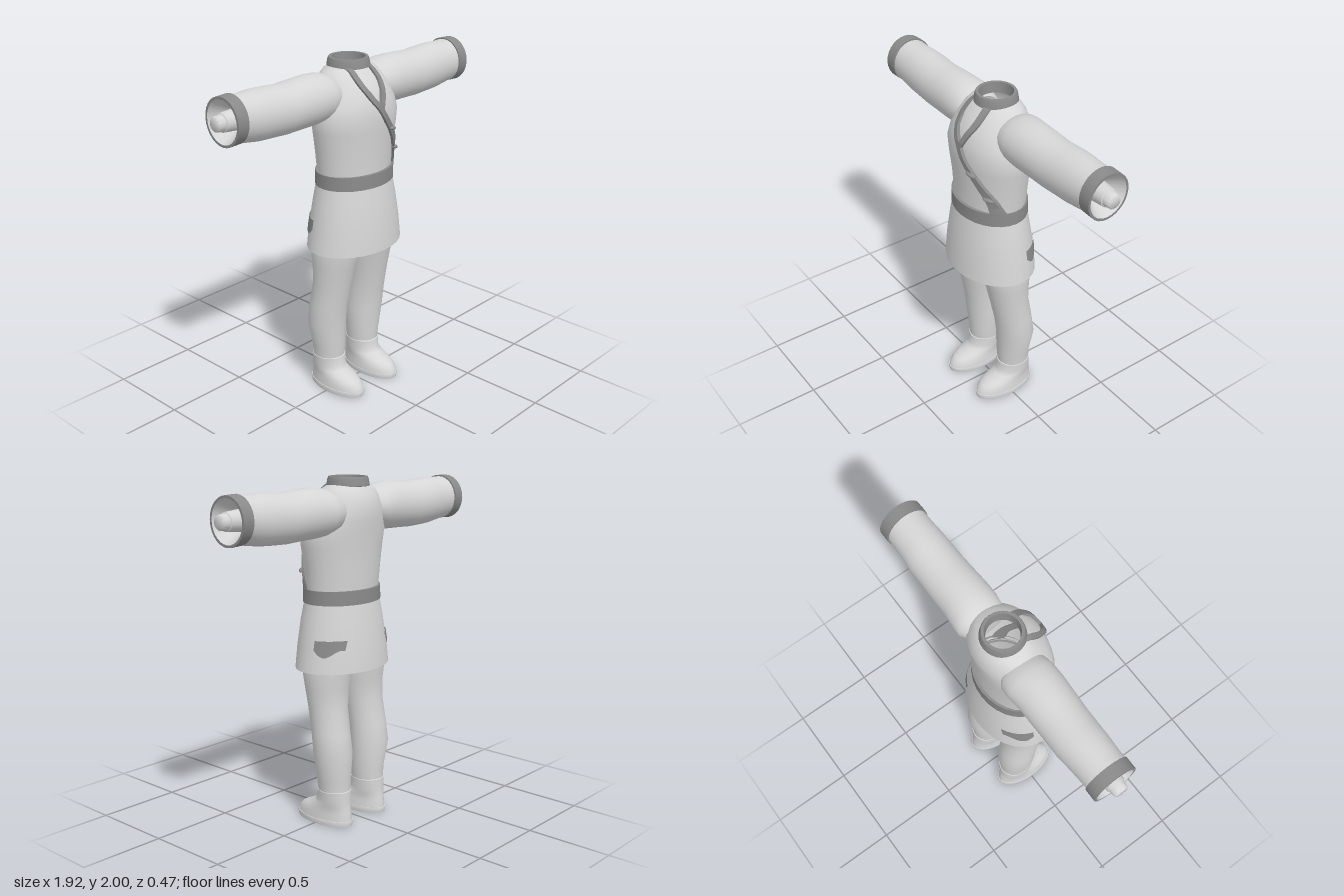
import * as THREE from 'three';
import { toCreasedNormals } from 'three/addons/utils/BufferGeometryUtils.js';

const SEG = 28;

// Skin a list of closed rings; the ends are optionally capped.
function loft(rings, capStart = false, capEnd = false) {
  const n = rings[0].length;
  const pos = rings.flat(2);
  const idx = [];
  for (let r = 0; r < rings.length - 1; r++) {
    for (let i = 0; i < n; i++) {
      const j = (i + 1) % n, a = r * n + i, b = r * n + j, c = a + n, d = b + n;
      idx.push(a, c, b, b, c, d);
    }
  }
  const cap = (ring, base, flip) => {
    const centre = pos.length / 3;
    for (let k = 0; k < 3; k++) pos.push(ring.reduce((s, p) => s + p[k], 0) / n);
    for (let i = 0; i < n; i++) {
      const a = base + i, b = base + (i + 1) % n;
      idx.push(centre, flip ? a : b, flip ? b : a);
    }
  };
  if (capStart) cap(rings[0], 0, true);
  if (capEnd) cap(rings[rings.length - 1], (rings.length - 1) * n, false);
  const g = new THREE.BufferGeometry();
  g.setAttribute('position', new THREE.Float32BufferAttribute(pos, 3));
  g.setIndex(idx);
  return toCreasedNormals(g, 0.8);
}

const angles = Array.from({ length: SEG }, (_, i) => (i / SEG) * Math.PI * 2);

// Rows are [y, xMin, xMax, zMin, zMax], listed upwards.
const upright = rows => rows.map(([y, x0, x1, z0, z1]) => angles.map(t => [
  (x0 + x1) / 2 + (x1 - x0) / 2 * Math.cos(t), y, (z0 + z1) / 2 + (z1 - z0) / 2 * Math.sin(t)]));

// Rows are [x, yMin, yMax, zMin, zMax], listed outwards along one arm.
const sideways = (rows, s) => rows.map(([x, y0, y1, z0, z1]) => angles.map(t => [
  s * x, (y0 + y1) / 2 + (y1 - y0) / 2 * Math.cos(t), (z0 + z1) / 2 - s * (z1 - z0) / 2 * Math.sin(t)]));

const mirrorX = rows => rows.map(([y, x0, x1, z0, z1]) => [y, -x1, -x0, z0, z1]);

const TORSO = [
  [1.34, -0.24, 0.24, -0.17, 0.18], [1.5, -0.255, 0.255, -0.18, 0.185],
  [1.62, -0.275, 0.275, -0.185, 0.195], [1.7, -0.285, 0.285, -0.195, 0.2],
  [1.77, -0.265, 0.265, -0.2, 0.19], [1.84, -0.23, 0.23, -0.205, 0.165],
  [1.9, -0.2, 0.2, -0.185, 0.12], [1.94, -0.165, 0.165, -0.16, 0.08],
  [1.965, -0.1, 0.1, -0.135, 0.055]];

const SKIRT = [
  [0.92, -0.31, 0.31, -0.23, 0.235], [1.05, -0.293, 0.293, -0.222, 0.228],
  [1.2, -0.268, 0.268, -0.2, 0.21], [1.32, -0.242, 0.242, -0.182, 0.19]];

// Interpolated extents of a body profile at height y.
function rowAt(rows, y) {
  const i = Math.max(1, rows.findIndex((r, k) => k === rows.length - 1 || r[0] >= y));
  const k = THREE.MathUtils.clamp((y - rows[i - 1][0]) / (rows[i][0] - rows[i - 1][0]), 0, 1);
  return rows[i].map((v, j) => THREE.MathUtils.lerp(rows[i - 1][j], v, k));
}

function chestZ(x, y) {
  const [, , x1, z0, z1] = rowAt(TORSO, y);
  return (z0 + z1) / 2 + (z1 - z0) / 2 * Math.sqrt(Math.max(0, 1 - (x / x1) ** 2));
}

// Flat band laid over the chest; points are [x, y, width], listed downwards.
function band(points) {
  const curve = new THREE.CatmullRomCurve3(points.map(p => new THREE.Vector3(...p)));
  const rings = [];
  for (let i = 0; i <= 16; i++) {
    const p = curve.getPoint(i / 16), t = curve.getTangent(i / 16);
    const l = Math.hypot(t.x, t.y), nx = -t.y / l * p.z / 2, ny = t.x / l * p.z / 2;
    const at = (s, lift) => [p.x + s * nx, p.y + s * ny, chestZ(p.x + s * nx, p.y + s * ny) + lift];
    rings.push([at(-1, -0.01), at(-1, 0.018), at(1, 0.018), at(1, -0.01)]);
  }
  return loft(rings, true, true);
}

export function createModel() {
  const model = new THREE.Group();
  const cloth = new THREE.MeshStandardMaterial({ color: 0xd6d6d6, side: THREE.DoubleSide });
  cloth.name = 'light grey cloth';
  const trim = new THREE.MeshStandardMaterial({ color: 0x8a8a8a, side: THREE.DoubleSide });
  trim.name = 'dark grey trim';
  const add = (name, geometry, material) => {
    const m = new THREE.Mesh(geometry, material);
    m.name = name;
    model.add(m);
    return m;
  };

  // Tunic, open at the neck and hem
  add('torso', loft(upright(TORSO)), cloth);
  add('skirt', loft(upright(SKIRT)), cloth);

  // Belt with thickness
  add('belt', loft(upright([
    [1.3, -0.235, 0.235, -0.17, 0.18], [1.3, -0.252, 0.252, -0.19, 0.2],
    [1.38, -0.25, 0.25, -0.188, 0.198], [1.38, -0.235, 0.235, -0.17, 0.18]])), trim);

  // Hollow standing collar
  const collarProfile = [[0.088, 1.94], [0.122, 1.95], [0.116, 1.985], [0.11, 2], [0.094, 2], [0.088, 1.94]]
    .map(p => new THREE.Vector2(...p));
  const collar = add('collar', toCreasedNormals(new THREE.LatheGeometry(collarProfile, SEG), 0.6), trim);
  collar.position.z = -0.04;

  // Lapels meeting in a sash that runs down to the belt
  add('rightLapel', band([[-0.085, 1.965, 0.025], [-0.085, 1.89, 0.03], [-0.05, 1.81, 0.03], [0.01, 1.735, 0.03]]), trim);
  add('leftLapel', band([[0.06, 1.965, 0.035], [0.065, 1.89, 0.035], [0.03, 1.8, 0.03], [0, 1.74, 0.03]]), trim);
  add('sash', band([[0, 1.745, 0.03], [0.05, 1.67, 0.03], [0.1, 1.61, 0.034], [0.16, 1.52, 0.038],
    [0.195, 1.45, 0.042], [0.212, 1.365, 0.046]]), trim);
  for (const [x, y] of [[0.1, 1.615], [0.183, 1.475]]) {
    const knot = add('sashKnot', new THREE.SphereGeometry(1, 12, 8), trim);
    knot.scale.set(0.034, 0.012, 0.018);
    knot.position.set(x, y, chestZ(x, y) + 0.016);
    knot.rotation.y = x * 3;
    knot.rotation.z = -0.2;
  }

  const leg = [
    [0.1, 0.065, 0.23, -0.16, 0.02], [0.2, 0.058, 0.238, -0.165, 0.03], [0.27, 0.05, 0.245, -0.165, 0.035],
    [0.43, 0.045, 0.275, -0.182, 0.045], [0.55, 0.047, 0.272, -0.165, 0.06],
    [0.7, 0.038, 0.268, -0.14, 0.09], [0.82, 0.02, 0.277, -0.142, 0.115],
    [0.92, 0.003, 0.283, -0.16, 0.14], [1.05, 0.0, 0.265, -0.17, 0.15]];
  const boot = [
    [0.03, 0.05, 0.244, -0.188, 0.198], [0.055, 0.052, 0.242, -0.186, 0.192],
    [0.08, 0.056, 0.239, -0.182, 0.165], [0.1, 0.058, 0.237, -0.178, 0.125],
    [0.125, 0.058, 0.237, -0.174, 0.06], [0.15, 0.057, 0.238, -0.172, 0.042],
    [0.205, 0.055, 0.241, -0.17, 0.036], [0.21, 0.062, 0.234, -0.16, 0.028]];
  const sole = [
    [0, 0.05, 0.246, -0.19, 0.2], [0.018, 0.046, 0.249, -0.194, 0.204],
    [0.03, 0.048, 0.247, -0.192, 0.202], [0.031, 0.06, 0.235, -0.18, 0.19]];
  const sleeve = [
    [0.13, 1.74, 1.9, -0.15, 0.06], [0.18, 1.705, 1.935, -0.185, 0.09], [0.24, 1.685, 1.95, -0.185, 0.1],
    [0.32, 1.678, 1.956, -0.175, 0.1], [0.42, 1.676, 1.95, -0.175, 0.095], [0.52, 1.672, 1.944, -0.172, 0.09],
    [0.62, 1.676, 1.95, -0.175, 0.087], [0.7, 1.68, 1.955, -0.168, 0.085], [0.78, 1.692, 1.95, -0.163, 0.08],
    [0.85, 1.702, 1.952, -0.162, 0.077]];
  const cuff = [
    [0.84, 1.71, 1.945, -0.15, 0.07], [0.84, 1.698, 1.96, -0.17, 0.084],
    [0.91, 1.694, 1.957, -0.17, 0.084], [0.91, 1.708, 1.943, -0.156, 0.07]];
  const lining = [[0.8, 1.775, 1.875, -0.09, 0.01], [0.91, 1.708, 1.943, -0.156, 0.07]];
  const arm = [
    [0.79, 1.765, 1.885, -0.1, 0.02], [0.915, 1.775, 1.875, -0.09, 0.01],
    [0.918, 1.781, 1.869, -0.084, 0.004], [0.955, 1.785, 1.865, -0.08, 0], [0.96, 1.79, 1.86, -0.075, -0.005]];

  for (const s of [1, -1]) {
    const side = s > 0 ? 'left' : 'right';
    const flip = s > 0 ? rows => rows : mirrorX;

    // Leg and boot
    add(side + 'Leg', loft(upright(flip(leg))), cloth);
    add(side + 'Boot', loft(upright(flip(boot))), cloth);
    add(side + 'Sole', loft(upright(flip(sole)), true, true), cloth);

    // Sleeve, cuff, its recessed lining and the wrist stub
    add(side + 'Sleeve', loft(sideways(sleeve, s)), cloth);
    add(side + 'Cuff', loft(sideways(cuff, s)), trim);
    add(side + 'SleeveLining', loft(sideways(lining, s)), cloth);
    add(side + 'Wrist', loft(sideways(arm, s), false, true), cloth);

    // Hip patch: thin sheet following the skirt, with a ragged lower edge
    const patch = new THREE.PlaneGeometry(1, 1, 8, 1);
    const p = patch.attributes.position;
    for (let i = 0; i < p.count; i++) {
      const u = p.getX(i) + 0.5;
      const z = -0.045 - 0.135 * u;
      const y = p.getY(i) > 0 ? 1.108 : 1.055 - 0.04 * Math.sin(Math.PI * Math.min(1, u * 1.2));
      const [, , x1, z0, z1] = rowAt(SKIRT, y);
      const k = (z - (z0 + z1) / 2) / ((z1 - z0) / 2);
      p.setXYZ(i, s * (x1 * Math.sqrt(1 - k * k) + 0.008), y, z);
    }
    if (s < 0) patch.setIndex([...patch.index.array].reverse());
    patch.computeVertexNormals();
    add(side + 'HipPatch', patch, trim);
  }
  return model;
}
